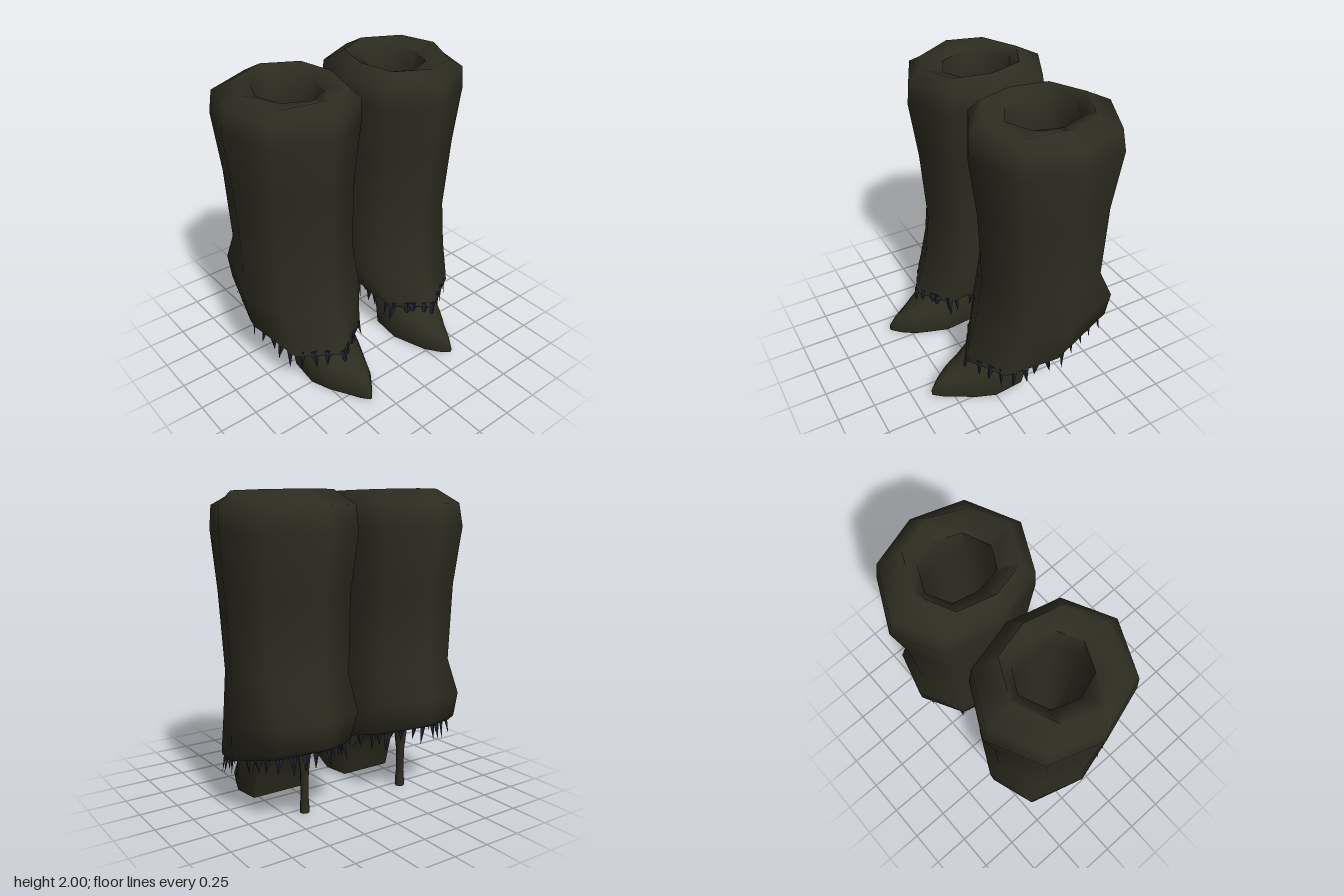
import * as THREE from 'three';
import { mergeGeometries, toCreasedNormals } from 'three/addons/utils/BufferGeometryUtils.js';

const leather = new THREE.MeshStandardMaterial({ color: 0x2d2c20, side: THREE.DoubleSide });
leather.name = 'darkOliveLeather';
const fringeMat = new THREE.MeshStandardMaterial({ color: 0x20202e, side: THREE.DoubleSide });
fringeMat.name = 'darkBlueFringe';

// Joins rings of points (each counter-clockwise seen from the next ring)
function loft(rings, capped) {
  const n = rings[0].length;
  const pts = rings.flat();
  const index = [];
  for (let i = 0; i < rings.length - 1; i++) {
    for (let j = 0; j < n; j++) {
      const k = (j + 1) % n;
      const a = i * n + j, b = i * n + k, c = a + n, d = b + n;
      index.push(a, b, c, b, d, c);
    }
  }
  if (capped) {
    const last = (rings.length - 1) * n;
    for (let j = 1; j < n - 1; j++) {
      index.push(0, j + 1, j, last, last + j, last + j + 1);
    }
  }
  const geo = new THREE.BufferGeometry();
  geo.setAttribute('position', new THREE.Float32BufferAttribute(pts.flatMap((p) => p.toArray()), 3));
  geo.setIndex(index);
  geo.computeVertexNormals();
  return geo;
}

// Eight-sided ring with separate heights at front and back; the outer back corner may bulge
function octagon([yFront, yBack, cx, halfW, zFront, zBack, backBulge = 0.95]) {
  const zc = (zFront + zBack) / 2, hz = (zFront - zBack) / 2;
  return Array.from({ length: 8 }, (_, i) => {
    const a = (i * Math.PI) / 4;
    const diagonal = i % 2 === 1;
    const s = Math.sin(a) * (diagonal ? 1.09 : 1);
    const c = Math.cos(a) * (diagonal ? (i === 3 ? backBulge : 0.96) : 1);
    const y = THREE.MathUtils.lerp(yFront, yBack, ((1 - c) / 2) ** 1.25);
    return new THREE.Vector3(cx - 0.025 * c * c + halfW * s, y, zc + hz * c);
  });
}

const HEM = [0.26, 0.50, 0.42, 0.345, 0.40, -0.58, 1.08];

// Shaft: tucked hem, outer wall, rolled rim and inner lining
function shaftGeometry() {
  const rings = [
    [0.34, 0.53, 0.40, 0.20, 0.25, -0.45],
    HEM,
    [0.32, 0.53, 0.42, 0.362, 0.375, -0.60, 1.12],
    [0.55, 0.68, 0.405, 0.395, 0.31, -0.61, 1.15],
    [0.88, 0.88, 0.418, 0.367, 0.265, -0.54, 1],
    [1.38, 1.38, 0.43, 0.38, 0.30, -0.565],
    [1.76, 1.76, 0.43, 0.412, 0.355, -0.63],
    [1.90, 1.91, 0.425, 0.405, 0.345, -0.595],
    [1.98, 2.00, 0.42, 0.31, 0.26, -0.42],
    [1.93, 1.95, 0.41, 0.20, 0.11, -0.36],
    [1.72, 1.74, 0.41, 0.20, 0.11, -0.36],
    [0.41, 0.51, 0.395, 0.155, 0.07, -0.30],
  ].map(octagon);
  rings[8][1].y -= 0.03; // dip in the rim
  return loft(rings, false);
}

// Pointed shoe: [z, sole height, top height, centre x, half width], back to front
function shoeGeometry() {
  const section = [[-0.92, 0], [0.92, 0], [1, 0.35], [0.8, 0.75], [0.35, 0.98],
    [-0.35, 0.98], [-0.8, 0.75], [-1, 0.35]];
  return loft([
    [-0.36, 0.45, 0.56, 0.385, 0.08],
    [-0.30, 0.42, 0.59, 0.385, 0.135],
    [-0.12, 0.37, 0.57, 0.385, 0.175],
    [-0.01, 0.23, 0.50, 0.375, 0.185],
    [0.05, 0.015, 0.45, 0.365, 0.20],
    [0.25, 0.005, 0.31, 0.365, 0.212],
    [0.38, 0.003, 0.215, 0.362, 0.16],
    [0.48, 0.003, 0.17, 0.35, 0.108],
    [0.57, 0.006, 0.13, 0.355, 0.05],
    [0.63, 0.02, 0.065, 0.36, 0.008],
  ].map(([z, y0, y1, cx, w]) =>
    section.map(([u, v]) => new THREE.Vector3(cx + u * w, y0 + v * (y1 - y0), z))), true);
}

// Stiletto heel
function heelGeometry() {
  const profile = [[0, 0.012], [0.031, 0.012], [0.03, 0.06], [0.025, 0.12], [0.028, 0.28], [0.05, 0.47]];
  return new THREE.LatheGeometry(profile.map(([r, y]) => new THREE.Vector2(r, y)), 8)
    .translate(0.385, 0, -0.308);
}

// Ragged flat spikes hanging around the hem
function fringeGeometry() {
  let seed = 7;
  const rand = () => (seed = (seed * 16807) % 2147483647) / 2147483647;
  const hem = octagon(HEM);
  const spikes = [];
  const count = 32;
  for (let i = 0; i < count; i++) {
    const t = ((i + 0.6 * rand()) / count) * 8;
    const j = Math.floor(t) % 8;
    const p = hem[j].clone().lerp(hem[(j + 1) % 8], t - Math.floor(t));
    const angle = Math.atan2(p.x - HEM[2], p.z + 0.09);
    const height = 0.09 + 0.07 * rand();
    const spike = new THREE.ConeGeometry(0.022 + 0.012 * rand(), height, 4);
    spike.scale(1, 1, 0.45).rotateX(Math.PI).translate(0, -height / 2 + 0.03, -0.01);
    spike.rotateZ((rand() - 0.5) * 0.4).rotateX(-0.2 * rand()).rotateY(angle);
    spikes.push(spike.translate(p.x, p.y, p.z));
  }
  return mergeGeometries(spikes);
}

// Reflects across x and restores the facing of the triangles
function mirrored(geo) {
  geo.scale(-1, 1, 1);
  geo.setIndex(Array.from(geo.index.array).reverse());
  return geo;
}

export function createModel() {
  const model = new THREE.Group();
  model.name = 'ankleBoots';
  const parts = [
    ['shaft', shaftGeometry, leather, 1.2],
    ['shoe', shoeGeometry, leather, 1.1],
    ['heel', heelGeometry, leather, 0.9],
    ['fringe', fringeGeometry, fringeMat, 0.3],
  ];
  for (const side of ['left', 'right']) {
    const boot = new THREE.Group();
    boot.name = side + 'Boot';
    for (const [name, build, material, crease] of parts) {
      const geo = side === 'left' ? build() : mirrored(build());
      const mesh = new THREE.Mesh(toCreasedNormals(geo, crease), material);
      mesh.name = name;
      boot.add(mesh);
    }
    model.add(boot);
  }
  return model;
}
